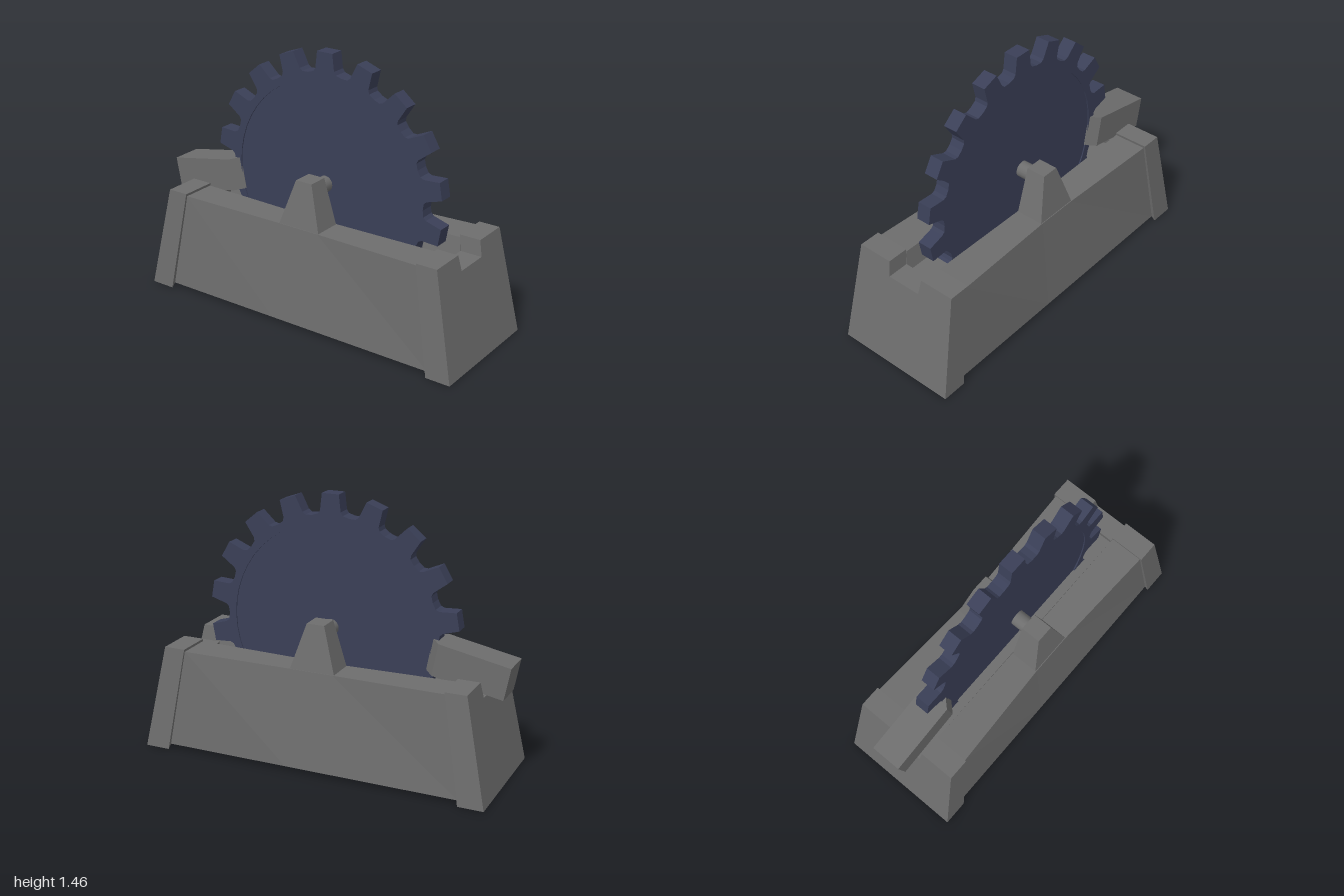
import * as THREE from 'three';

const CX = 0.015; // axle and base centre line
const GEAR_Y = 0.735;
const stone = new THREE.MeshStandardMaterial({ color: 0x6d6d6d, flatShading: true, side: THREE.DoubleSide });
const metal = new THREE.MeshStandardMaterial({ color: 0x3a3f57, flatShading: true });

// Quad strips between successive cross-sections with equal point counts
function loft(sections) {
  const n = sections[0].length;
  const index = [];
  for (let s = 0; s < sections.length - 1; s++) {
    for (let i = 0; i < n - 1; i++) {
      const a = s * n + i, b = a + n;
      index.push(a, b, a + 1, b, b + 1, a + 1);
    }
  }
  const geo = new THREE.BufferGeometry();
  geo.setAttribute('position', new THREE.Float32BufferAttribute(sections.flat(2), 3));
  geo.setIndex(index);
  const flat = geo.toNonIndexed();
  flat.computeVertexNormals();
  return flat;
}

function mesh(name, geo, material, parent) {
  const m = new THREE.Mesh(geo, material);
  m.name = name;
  parent.add(m);
  return m;
}

// Half profile [z, y] from outer foot to trough, mirrored to the other side
const mirrored = (half) => [...half, ...half.map(([z, y]) => [-z, y]).reverse()];
const place = (profile, xOf) => profile.map(([z, y]) => [xOf(y), y, z]);
const bodyProfile = (u) => mirrored([
  [0.335, 0.025], [0.27 + 0.032 * Math.abs(u), 0.56 + 0.01 * u * u], [0.11, 0.56 + 0.01 * u * u], [0.087, 0.46],
]);
const capProfile = mirrored([[0.355, 0], [0.312, 0.585], [0.11, 0.585], [0.1, 0.5]]);
const innerX = (y) => 0.845 - 0.171 * y;
const outerX = (y) => 0.985 - 0.205 * y;

function buildBase() {
  const base = new THREE.Group();
  base.name = 'base';
  base.position.x = CX;

  // Hollow long body with a slot along the top, slimmest at the axle
  const sections = [-1, -0.16, 0.16, 1].map((u) => place(bodyProfile(u), (y) => u * innerX(y)));
  mesh('body', loft(sections), stone, base);

  // Raised, notched end caps
  for (const s of [-1, 1]) {
    const cap = new THREE.Group();
    cap.name = s > 0 ? 'leftEndCap' : 'rightEndCap';
    base.add(cap);
    const inner = place(capProfile, (y) => s * innerX(y));
    const outer = place(capProfile, (y) => s * outerX(y));
    const foot = capProfile.map(([z]) => [s * outerX(0), 0, z]);
    // Strip order follows the side so that fronts face outwards
    const strip = (a, b) => loft(s > 0 ? [a, b] : [b, a]);
    mesh('capShell', strip(inner, outer), stone, cap);
    mesh('capEnd', strip(outer, foot), stone, cap);
    mesh('capLip', strip(place(bodyProfile(1), (y) => s * innerX(y)), inner), stone, cap);
  }

  // Tapered axle supports
  for (const s of [-1, 1]) {
    const geo = new THREE.BoxGeometry(1, 1, 1);
    const p = geo.attributes.position;
    for (let i = 0; i < p.count; i++) {
      const top = p.getY(i) > 0;
      const outside = p.getZ(i) * s > 0;
      p.setXYZ(i, Math.sign(p.getX(i)) * (top ? 0.05 : 0.133),
        top ? 0.805 : 0.54, s * (outside ? (top ? 0.225 : 0.275) : 0.113));
    }
    geo.computeVertexNormals();
    mesh(s > 0 ? 'frontAxleSupport' : 'backAxleSupport', geo, stone, base);
  }
  return base;
}

function buildGear() {
  const gear = new THREE.Group();
  gear.name = 'gear';
  gear.position.set(CX, GEAR_Y, 0);

  // Toothed ring, outlined anticlockwise tooth by tooth
  const TEETH = 18;
  const tooth = [[0.106, 0.601], [0.071, 0.612], [0.059, 0.63], [0.048, 0.723],
    [-0.048, 0.723], [-0.059, 0.63], [-0.071, 0.612]];
  const outline = [];
  for (let i = 0; i < TEETH; i++) {
    const a = (i / TEETH) * Math.PI * 2;
    for (const [t, r] of tooth) outline.push(new THREE.Vector2(t, r).rotateAround(new THREE.Vector2(), a));
  }
  const shape = new THREE.Shape(outline);
  const hole = new THREE.Path();
  hole.absarc(0, 0, 0.57, 0, Math.PI * 2, true);
  shape.holes.push(hole);
  const ring = new THREE.ExtrudeGeometry(shape, { depth: 0.08, bevelEnabled: false, curveSegments: 24 });
  ring.translate(0, 0, -0.04);
  mesh('toothedRing', ring, metal, gear);

  // Slightly recessed disc
  const disc = new THREE.CylinderGeometry(0.573, 0.573, 0.066, 48);
  disc.rotateX(Math.PI / 2);
  mesh('disc', disc, metal, gear);
  return gear;
}

export function createModel() {
  const model = new THREE.Group();
  model.name = 'gearOnStand';
  model.add(buildBase(), buildGear());

  // Axle between the supports
  const axle = new THREE.CylinderGeometry(0.045, 0.045, 0.23, 16);
  axle.rotateX(Math.PI / 2).translate(CX, GEAR_Y, 0);
  const axleMat = new THREE.MeshStandardMaterial({ color: 0x6d6d6d });
  mesh('axle', axle, axleMat, model);

  // Tilted stop block, its tip chamfered towards the gear
  const plan = new THREE.Shape([[0, -0.087], [0.395, -0.087], [0.445, -0.035],
    [0.445, 0.035], [0.395, 0.087], [0, 0.087]].map(([x, z]) => new THREE.Vector2(x, z)));
  const block = new THREE.ExtrudeGeometry(plan, { depth: 0.18, bevelEnabled: false });
  block.rotateX(Math.PI / 2).rotateZ(0.19).translate(-1, 0.672, 0);
  mesh('stopBlock', block, stone, model);

  return model;
}
